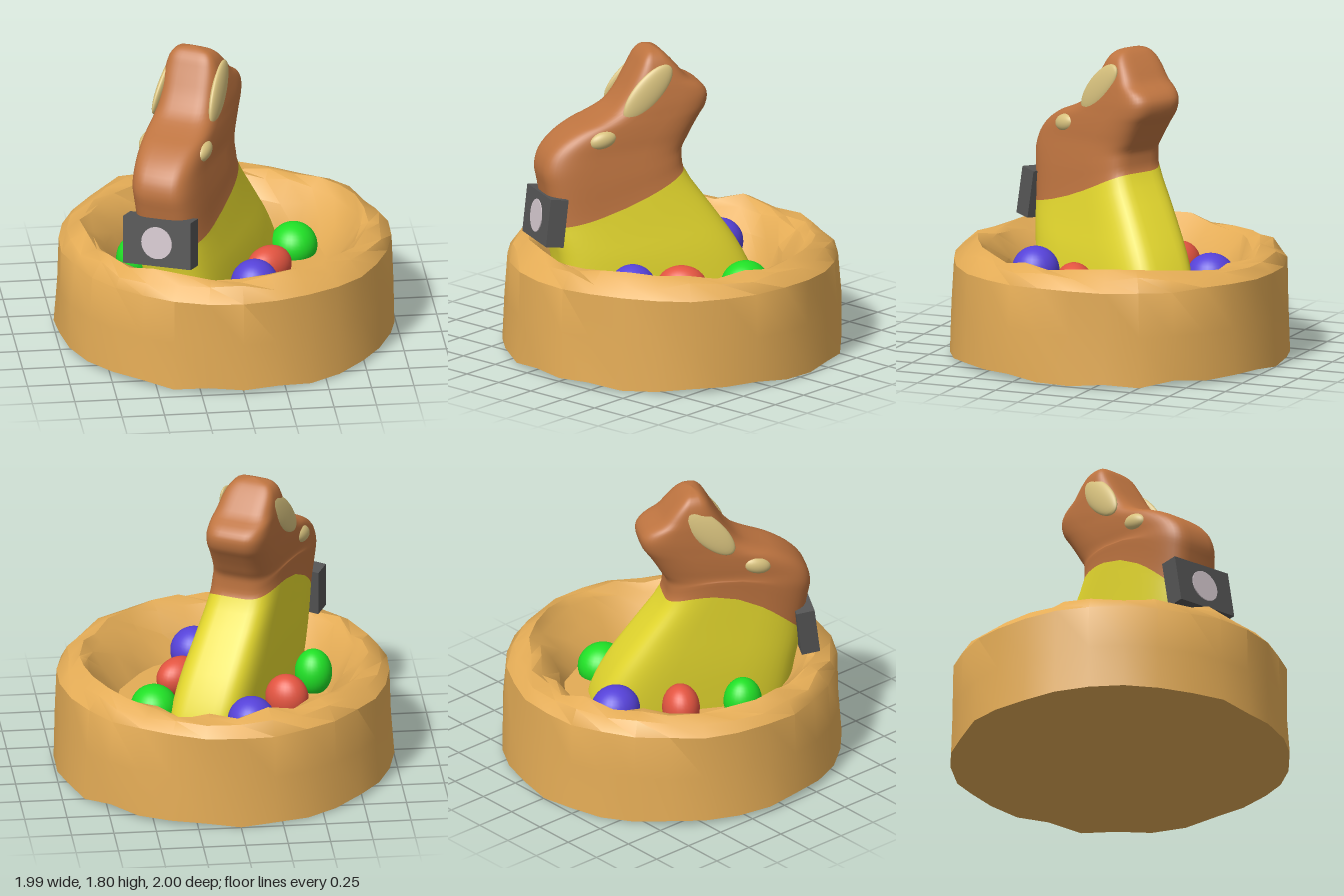
import * as THREE from 'three';
import { mergeVertices, toCreasedNormals } from 'three/addons/utils/BufferGeometryUtils.js';

const mat = (name, color) => {
  const m = new THREE.MeshStandardMaterial({ color });
  m.name = name;
  return m;
};

// Small repeatable noise in -1..1
const noise = (i, j) => {
  const v = Math.sin(i * 127.1 + j * 311.7 + 4.3) * 43758.5453;
  return (v - Math.floor(v)) * 2 - 1;
};

// Rough basket: a lathed bowl with an uneven rim and foot
function basketGeometry() {
  const segs = 30;
  const profile = [
    // radius, height, radius jitter, height jitter
    [0, 0.015, 0, 0], [0.995, 0.022, 0.008, 0.02], [0.985, 0.3, 0.008, 0],
    [0.975, 0.565, 0.01, 0.008], [0.92, 0.635, 0.02, 0.02], [0.84, 0.665, 0.02, 0.035],
    [0.785, 0.62, 0.02, 0.03], [0.69, 0.52, 0.03, 0.02], [0.615, 0.38, 0.02, 0], [0, 0.38, 0, 0],
  ];
  let g = new THREE.LatheGeometry(profile.map(p => new THREE.Vector2(p[0], p[1])), segs);
  const pos = g.attributes.position;
  for (let i = 0; i <= segs; i++) {
    profile.forEach(([r, y, dr, dy], j) => {
      const k = i % segs, a = (k / segs) * Math.PI * 2;
      const rr = r + dr * noise(k, j);
      pos.setXYZ(i * profile.length + j, rr * Math.sin(a), y + dy * noise(k, j + 20), rr * Math.cos(a));
    });
  }
  g.deleteAttribute('uv');
  g.deleteAttribute('normal');
  g = mergeVertices(g, 1e-4);
  return toCreasedNormals(g, 0.6);
}

// Sideways lean of the rabbit with height
const lean = y => -0.04 - 0.095 * (y - 0.4) / 1.1;

// Rabbit: rings lofted between a front line and a back line.
// Row: front z, front y, back z, back y, half width
const ROWS = [
  [0.64, 0.28, -0.50, 0.28, 0.25], [0.68, 0.42, -0.48, 0.42, 0.25],
  [0.71, 0.60, -0.385, 0.62, 0.245], [0.735, 0.72, -0.25, 0.82, 0.23],
  [0.745, 0.80, -0.075, 1.08, 0.215], // colour border
  [0.78, 1.02, -0.065, 1.16, 0.21], [0.795, 1.12, -0.07, 1.21, 0.205],
  [0.77, 1.21, -0.10, 1.26, 0.20], [0.70, 1.29, -0.135, 1.32, 0.20],
  [0.59, 1.36, -0.18, 1.39, 0.198], [0.475, 1.405, -0.22, 1.45, 0.195],
  [0.365, 1.46, -0.23, 1.52, 0.192], [0.285, 1.55, -0.195, 1.57, 0.185],
  [0.23, 1.64, -0.11, 1.62, 0.175], [0.195, 1.70, -0.05, 1.69, 0.16],
  [0.165, 1.75, 0.00, 1.745, 0.138], [0.13, 1.785, 0.04, 1.78, 0.10],
  [0.085, 1.80, 0.085, 1.80, 0.0],
];
const BORDER = 4;

function rabbitGeometry() {
  const sub = 3, around = 48, n = (ROWS.length - 1) * sub;
  const front = new THREE.CatmullRomCurve3(ROWS.map(r => new THREE.Vector3(r[0], r[1], r[4])));
  const back = new THREE.CatmullRomCurve3(ROWS.map(r => new THREE.Vector3(r[2], r[3], 0)));
  const soft = v => Math.sign(v) * Math.pow(Math.abs(v), 0.52);
  const pos = [], index = [];
  for (let i = 0; i <= n; i++) {
    const F = front.getPoint(i / n), B = back.getPoint(i / n);
    // The colour border sags on the left side and arches on the right
    const near = Math.exp(-(((i / sub - BORDER) / 2) ** 2));
    for (let k = 0; k < around; k++) {
      const a = (k / around) * Math.PI * 2;
      const u = soft(Math.sin(a)), c = Math.cos(a);
      const bend = (c > 0 ? -0.04 : 0.16) * near * (1 - u * u);
      const y = (F.y + B.y) / 2 + (F.y - B.y) / 2 * u + bend;
      pos.push(lean(y) + Math.max(F.z, 0) * soft(c), y, (F.x + B.x) / 2 + (F.x - B.x) / 2 * u);
      if (i < n) {
        const p = i * around + k, q = i * around + (k + 1) % around;
        index.push(p, p + around, q, q, p + around, q + around);
      }
    }
  }
  const g = new THREE.BufferGeometry();
  g.setAttribute('position', new THREE.Float32BufferAttribute(pos, 3));
  g.setIndex(index);
  g.computeVertexNormals();
  const split = BORDER * sub * around * 6;
  g.addGroup(0, split, 0);
  g.addGroup(split, index.length - split, 1);
  return g;
}

export function createModel() {
  const model = new THREE.Group();
  const straw = mat('straw', 0xe4ac56);
  const yellow = mat('yellow wrapper', 0xe4d82e);
  const brown = mat('chocolate brown', 0xbe7440);
  const cream = mat('cream', 0xd8c27e);
  const grey = mat('dark grey', 0x555555);
  const pale = mat('pale disc', 0xd2c6cc);
  const red = mat('red', 0xe25440);
  const green = mat('green', 0x20e026);
  const blue = mat('blue', 0x5642d8);

  const add = (parent, name, geometry, material) => {
    const m = new THREE.Mesh(geometry, material);
    m.name = name;
    parent.add(m);
    return m;
  };

  add(model, 'basket', basketGeometry(), straw);

  // Eggs: colour, x, y, z, radii x y z, turn
  const ball = new THREE.SphereGeometry(1, 28, 20);
  [
    [blue, -0.11, 0.48, -0.535, 0.14, 0.14, 0.148, 0],
    [blue, 0.12, 0.48, 0.485, 0.14, 0.14, 0.14, 0],
    [green, 0.425, 0.42, -0.165, 0.14, 0.135, 0.148, 0],
    [green, -0.54, 0.49, 0.08, 0.11, 0.14, 0.115, 0],
    [red, 0.24, 0.45, 0.185, 0.148, 0.12, 0.11, 0.6],
    [red, -0.35, 0.48, -0.235, 0.13, 0.14, 0.11, -0.5],
  ].forEach(([m, x, y, z, rx, ry, rz, turn]) => {
    const egg = add(model, 'egg', ball, m);
    egg.position.set(x, y, z);
    egg.scale.set(rx, ry, rz);
    egg.rotation.y = turn;
  });

  // Rabbit, turned towards its right
  const rabbit = new THREE.Group();
  rabbit.name = 'rabbit';
  rabbit.rotation.y = -Math.PI / 6;
  model.add(rabbit);
  add(rabbit, 'rabbitBody', rabbitGeometry(), [yellow, brown]);

  // Inner ears and eyes on both sides
  for (const side of [-1, 1]) {
    const ear = add(rabbit, 'innerEar', ball, cream);
    ear.position.set(lean(1.56) + side * 0.17, 1.565, 0.16);
    ear.scale.set(0.03, 0.085, 0.205);
    ear.rotation.set(0.79, 0, side * 0.12, 'ZYX');
    const eye = add(rabbit, 'eye', ball, cream);
    eye.position.set(lean(1.31) + side * 0.18, 1.31, 0.45);
    eye.scale.set(0.042, 0.052, 0.085);
    eye.rotation.x = 0.25;
  }

  // Box with a round plate at the chest
  const tag = new THREE.Group();
  tag.name = 'chestBox';
  tag.position.set(-0.083, 0.836, 0.756);
  tag.rotation.set(-0.13, 0, 0.06);
  rabbit.add(tag);
  add(tag, 'box', new THREE.BoxGeometry(0.43, 0.285, 0.11), grey);
  const disc = add(tag, 'boxDisc', new THREE.CylinderGeometry(0.097, 0.097, 0.008, 32), pale);
  disc.rotation.x = Math.PI / 2;
  disc.position.z = 0.057;

  return model;
}
